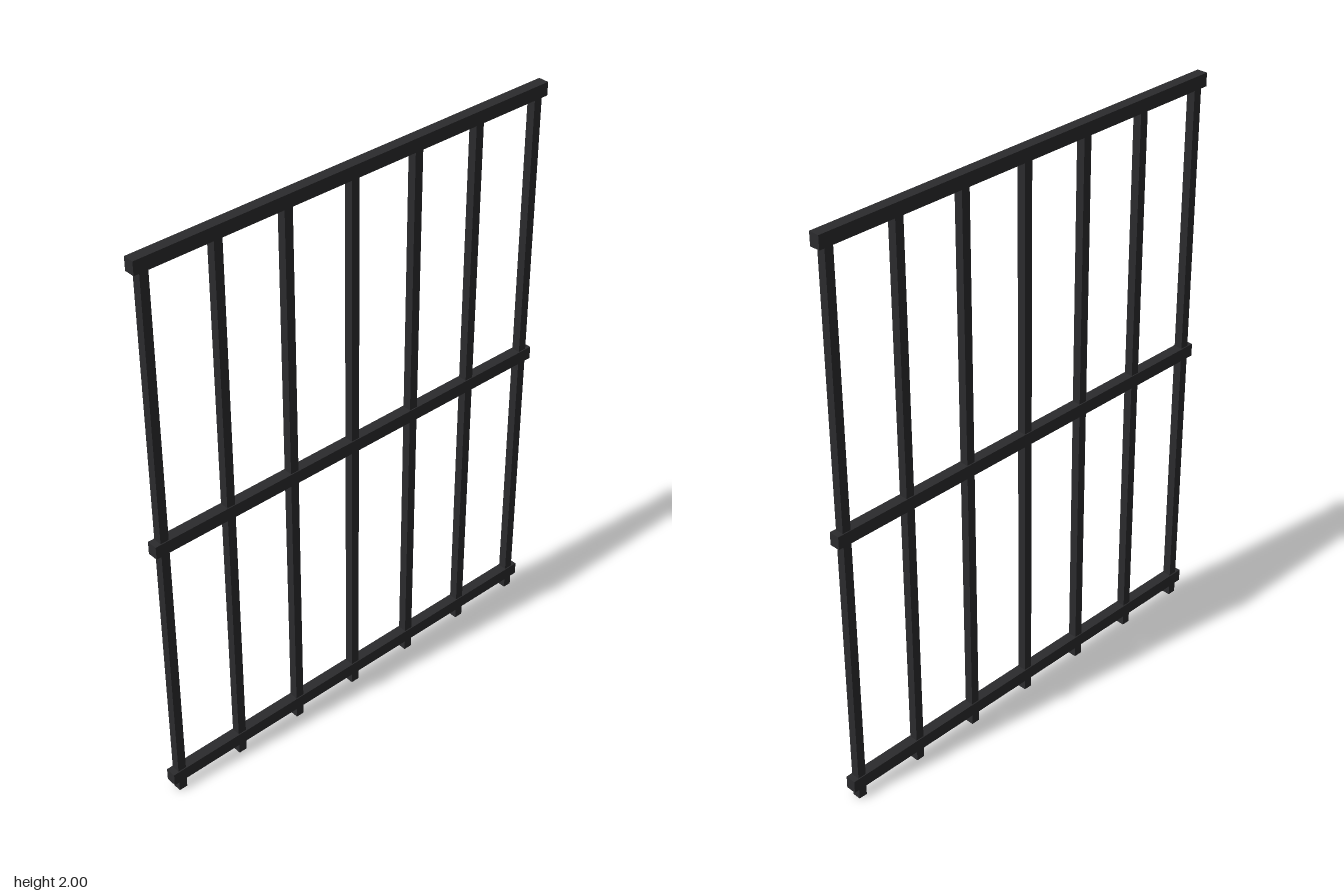
import * as THREE from 'three';

export function createModel() {
  const model = new THREE.Group();
  model.name = 'barredPanel';

  const iron = new THREE.MeshStandardMaterial({ color: 0x2b2b2d });
  iron.name = 'dark iron';

  function addBox(name, width, height, depth, x, y) {
    const mesh = new THREE.Mesh(new THREE.BoxGeometry(width, height, depth), iron);
    mesh.name = name;
    mesh.position.set(x, y, 0);
    model.add(mesh);
  }

  // Horizontal rails
  const rails = { bottomRail: 0.063, middleRail: 1.011, topRail: 1.9775 };
  for (const [name, y] of Object.entries(rails)) {
    addBox(name, 1.565, 0.045, 0.037, 0, y);
  }

  // Vertical bars, running from the ground up into the top rail
  const barHeight = 1.98;
  for (let i = -3; i <= 3; i++) {
    addBox(`verticalBar${i + 4}`, 0.03, barHeight, 0.03, i * 0.249, barHeight / 2);
  }

  return model;
}
